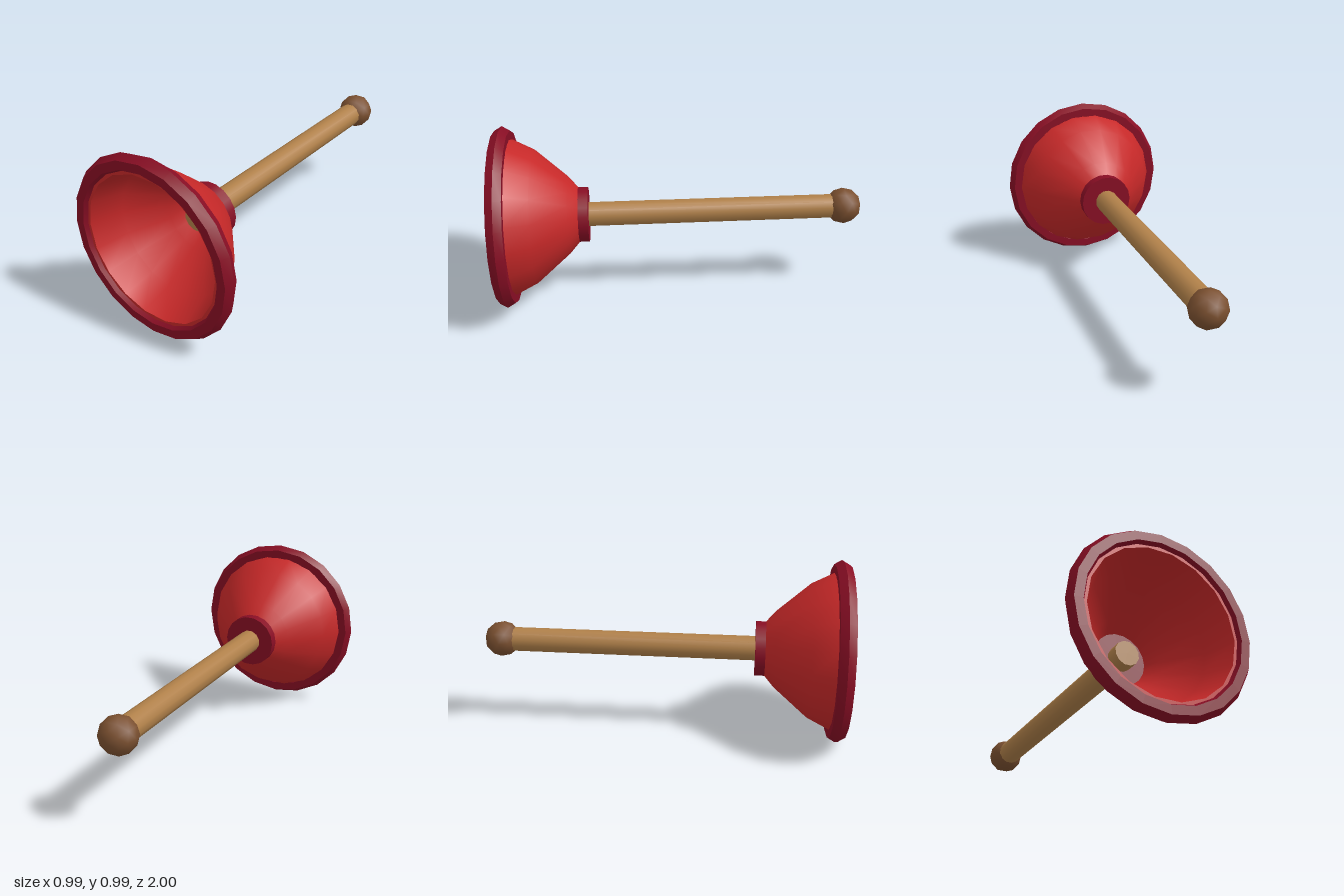
import * as THREE from 'three';
import { toCreasedNormals } from 'three/addons/utils/BufferGeometryUtils.js';

const AXIS_Y = 0.493; // height of the horizontal axis

function material(name, color) {
  const m = new THREE.MeshStandardMaterial({ color });
  m.name = name;
  return m;
}

export function createModel() {
  const group = new THREE.Group();
  group.name = 'plunger';

  const red = material('red rubber', 0xc62828);
  const wine = material('wine rubber', 0x880e24);
  const wood = material('light wood', 0xb08049);
  const darkWood = material('dark wood', 0x7b5030);

  function add(name, geometry, mat, z = 0) {
    const mesh = new THREE.Mesh(geometry, mat);
    mesh.name = name;
    mesh.position.set(0, AXIS_Y, z);
    group.add(mesh);
  }

  // Cylinder lying along z, from z0 to z1
  function rod(radius, z0, z1, sides, turn = 0) {
    const g = new THREE.CylinderGeometry(radius, radius, z1 - z0, sides, 1, false, turn);
    return g.rotateX(Math.PI / 2).translate(0, 0, (z0 + z1) / 2);
  }

  // Hollow cup: outer wall, flat lip, inner wall (radius, z)
  const profile = [
    [0.14, 0.56], [0.21, 0.62], [0.365, 0.8], [0.425, 0.92], [0.44, 0.98],
    [0.396, 0.98], [0.345, 0.81], [0.19, 0.635], [0.137, 0.57],
  ].map(([r, z]) => new THREE.Vector2(r, z));
  const cup = new THREE.LatheGeometry(profile, 18, Math.PI / 2).rotateX(Math.PI / 2);
  add('cup', toCreasedNormals(cup, 0.6), red);

  // Six-sided bead around the mouth
  const rim = new THREE.TorusGeometry(0.446, 0.047, 6, 20);
  add('rim', toCreasedNormals(rim, 0.6), wine, 0.96);

  // Collar where the handle enters the cup
  add('collar', rod(0.15, 0.515, 0.575, 18, Math.PI / 2), wine);

  // Handle, poking slightly into the cup
  add('handle', rod(0.067, -0.87, 0.65, 12, Math.PI / 12), wood);

  // Ball at the end of the handle
  const ball = new THREE.IcosahedronGeometry(0.1, 1);
  add('knob', ball, darkWood, -0.9);

  return group;
}
